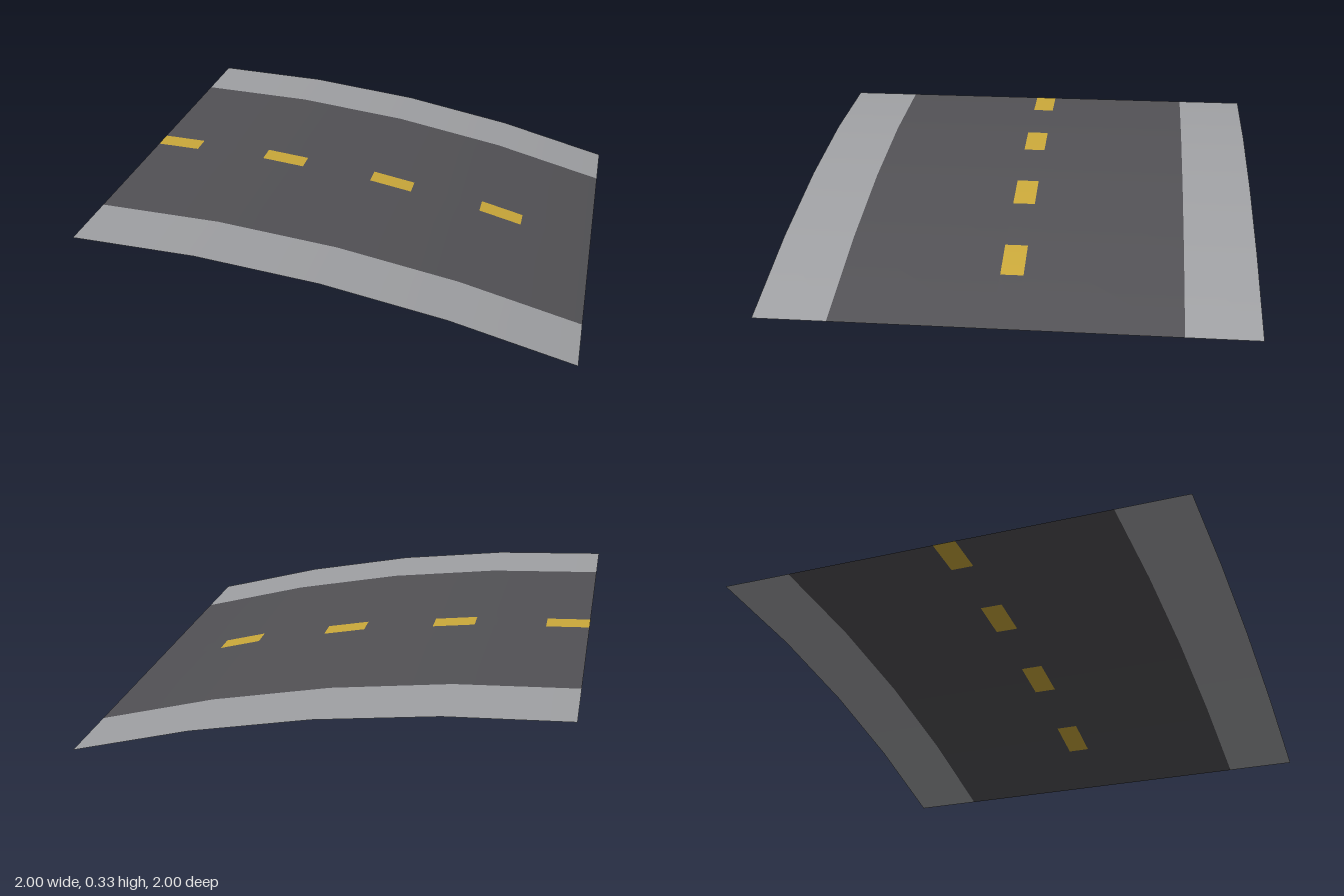
import * as THREE from 'three';

const KNOTS = [-1, -0.5, 0, 0.5, 1];

// Gentle crest: level at -x, sloping down to the ground at +x
const crest = (x) => 0.332 - 0.02 * (x + 1) - 0.073 * (x + 1) ** 2;
const slope = (x) => -0.02 - 0.146 * (x + 1);

// Height of the four straight spans between the knots
function height(x) {
  const i = Math.min(3, Math.floor((x + 1) / 0.5));
  return THREE.MathUtils.lerp(crest(KNOTS[i]), crest(KNOTS[i + 1]), (x - KNOTS[i]) / 0.5);
}

// Strip of the curved surface covering x0..x1 and z0..z1
function strip(name, material, x0, x1, z0, z1) {
  const xs = [x0, ...KNOTS.filter((k) => k > x0 && k < x1), x1];
  const positions = [], normals = [], index = [];
  xs.forEach((x, i) => {
    const n = new THREE.Vector3(-slope(x), 1, 0).normalize();
    for (const z of [z0, z1]) {
      positions.push(x, height(x), z);
      normals.push(n.x, n.y, n.z);
    }
    if (i > 0) {
      const a = 2 * i - 2;
      index.push(a, a + 1, a + 2, a + 1, a + 3, a + 2);
    }
  });
  const geometry = new THREE.BufferGeometry();
  geometry.setAttribute('position', new THREE.Float32BufferAttribute(positions, 3));
  geometry.setAttribute('normal', new THREE.Float32BufferAttribute(normals, 3));
  geometry.setIndex(index);
  const mesh = new THREE.Mesh(geometry, material);
  mesh.name = name;
  return mesh;
}

export function createModel() {
  const make = (name, color) =>
    new THREE.MeshStandardMaterial({ name, color, side: THREE.DoubleSide });
  const asphalt = make('asphalt', 0x525155);
  const pavement = make('pavement grey', 0x9fa0a3);
  const yellow = make('line yellow', 0xcaa83a);

  const road = new THREE.Group();
  road.name = 'curvedRoad';

  // Pavements and lanes on both sides
  road.add(
    strip('rightPavement', pavement, -1, 1, -1, -0.7),
    strip('leftPavement', pavement, -1, 1, 0.7, 1),
    strip('rightLane', asphalt, -1, 1, -0.7, -0.048),
    strip('leftLane', asphalt, -1, 1, 0.048, 0.7),
  );

  // Dashed centre line, one dash and one gap per span
  for (const x of KNOTS.slice(0, 4)) {
    road.add(
      strip('centreDash', yellow, x, x + 0.187, -0.048, 0.048),
      strip('centreGap', asphalt, x + 0.187, x + 0.5, -0.048, 0.048),
    );
  }
  return road;
}
